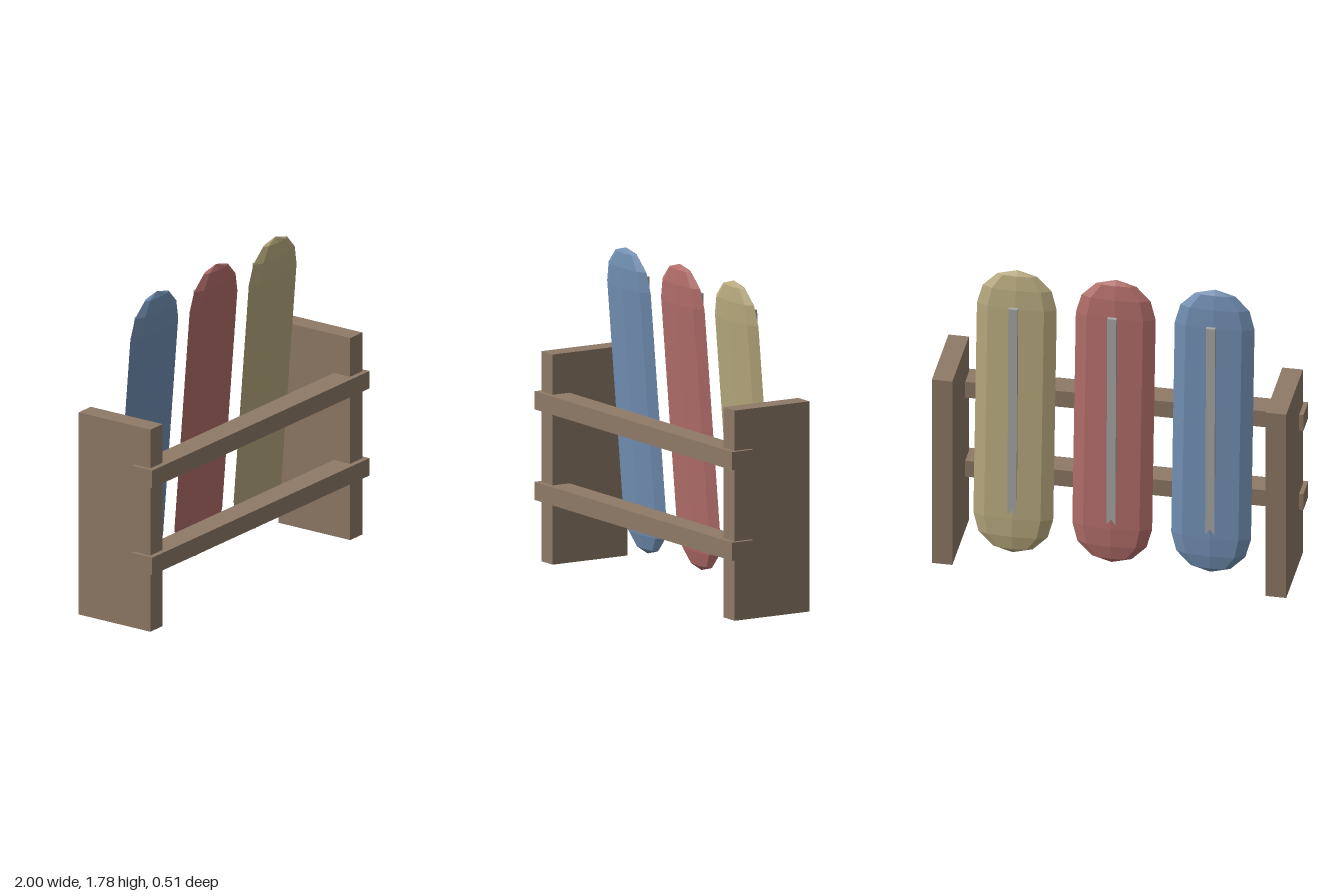
import * as THREE from 'three';

export function createModel() {
  const model = new THREE.Group();
  model.name = 'kayakRack';

  const material = (name, color) => {
    const m = new THREE.MeshStandardMaterial({ color, flatShading: true });
    m.name = name;
    return m;
  };
  const wood = material('wood', 0x8f7a66);
  const metal = material('grey', 0xa8a8a6);
  const hulls = [
    ['blue', -0.545, material('blue', 0x7290b4)],
    ['red', 0, material('red', 0xb36e6a)],
    ['yellow', 0.545, material('yellow', 0xb8aa7e)],
  ];

  const add = (name, geometry, mat, x, y, z) => {
    const mesh = new THREE.Mesh(geometry, mat);
    mesh.name = name;
    mesh.position.set(x, y, z);
    model.add(mesh);
    return mesh;
  };

  // End panels
  const panel = new THREE.BoxGeometry(0.113, 1.16, 0.48);
  for (const side of [-1, 1]) {
    add(side > 0 ? 'leftPanel' : 'rightPanel', panel, wood, side * 0.92, 0.58, -0.015);
  }

  // Front rails, let into the panels
  const rail = new THREE.BoxGeometry(2, 0.1, 0.138);
  add('lowerRail', rail, wood, 0, 0.388, 0.186);
  add('upperRail', rail, wood, 0, 0.888, 0.186);

  // Flattened, forward-leaning hulls, each with a strip sunk into its back
  const hull = new THREE.CapsuleGeometry(0.22, 1.27, 3, 8);
  const strip = new THREE.BoxGeometry(0.05, 1.36, 0.022);
  for (const [color, x, mat] of hulls) {
    const body = add(color + 'Hull', hull, mat, x, 0.925, -0.1125);
    body.scale.z = 0.2;
    body.rotation.x = 0.08;
    const back = add(color + 'BackStrip', strip, metal, x, 0.925, -0.18);
    back.rotation.x = 0.02;
  }
  return model;
}
